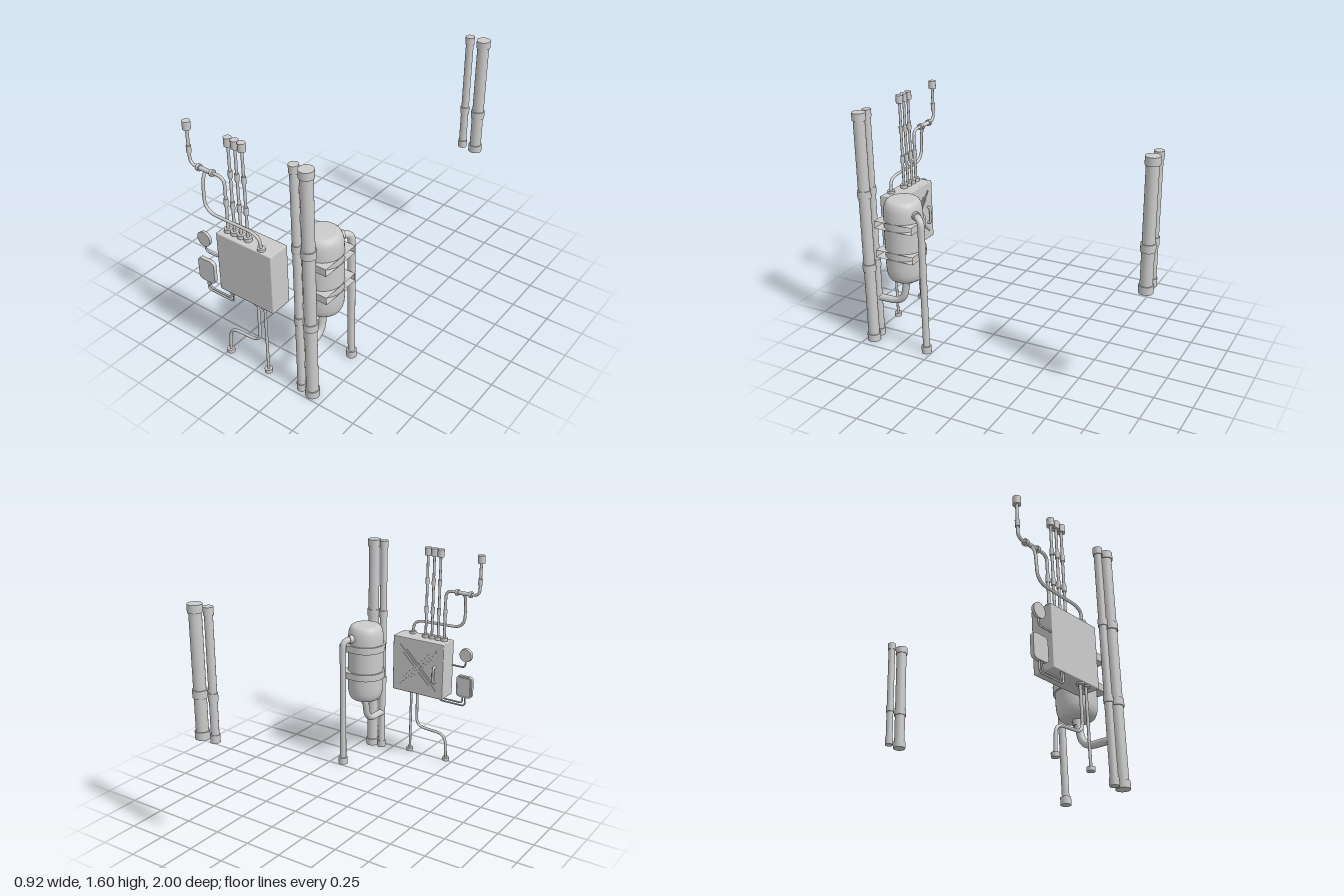
import * as THREE from 'three';
import { RoundedBoxGeometry } from 'three/addons/geometries/RoundedBoxGeometry.js';
import { toCreasedNormals } from 'three/addons/utils/BufferGeometryUtils.js';

const grey = new THREE.MeshStandardMaterial({ color: 0xcccccc });
const greyOpen = new THREE.MeshStandardMaterial({ color: 0xcccccc, side: THREE.DoubleSide });

export function createModel() {
  const root = new THREE.Group();

  function group(name) {
    const g = new THREE.Group();
    g.name = name;
    root.add(g);
    return g;
  }

  function add(parent, name, geometry, x = 0, y = 0, z = 0, material = grey) {
    const m = new THREE.Mesh(geometry, material);
    m.name = name;
    m.position.set(x, y, z);
    parent.add(m);
    return m;
  }

  // Upright cylinder between two heights
  function rod(parent, name, x, z, y0, y1, r, sides = 20) {
    return add(parent, name, new THREE.CylinderGeometry(r, r, y1 - y0, sides), x, (y0 + y1) / 2, z);
  }

  // Tube along a polyline whose corners are rounded by the given bend
  function bentPipe(parent, name, points, r, bend = 0.04, sides = 12) {
    const p = points.map((a) => new THREE.Vector3(...a));
    const path = new THREE.CurvePath();
    let from = p[0];
    for (let i = 1; i < p.length - 1; i++) {
      const d0 = Math.min(bend, p[i].distanceTo(p[i - 1]) * 0.49);
      const d1 = Math.min(bend, p[i].distanceTo(p[i + 1]) * 0.49);
      const a = p[i].clone().add(p[i - 1].clone().sub(p[i]).setLength(d0));
      const b = p[i].clone().add(p[i + 1].clone().sub(p[i]).setLength(d1));
      path.add(new THREE.LineCurve3(from, a));
      path.add(new THREE.QuadraticBezierCurve3(a, p[i], b));
      from = b;
    }
    path.add(new THREE.LineCurve3(from, p[p.length - 1]));
    return add(parent, name, new THREE.TubeGeometry(path, 72, r, sides, false), 0, 0, 0, greyOpen);
  }

  // Large risers with joint collars; two near the tank, two far away
  const risers = group('risers');
  function riser(x, z, r, collarR, collars) {
    rod(risers, 'riserPipe', x, z, collars[0] + 0.005, 1.595, r, 24);
    for (const y of collars) rod(risers, 'riserCollar', x, z, y, y + 0.05, collarR, 24);
  }
  const nearCollars = [0, 0.52, 1.035, 1.55];
  const farCollars = [0.775, 1.035, 1.55];
  riser(0.415, 0.95, 0.038, 0.045, nearCollars);
  riser(0.332, 0.95, 0.025, 0.03, nearCollars);
  riser(0.38, -0.955, 0.038, 0.045, farCollars);
  riser(0.28, -0.955, 0.025, 0.03, farCollars);

  // Tank
  const tank = group('tank');
  const TX = 0.33, TZ = 0.717;
  const half = [[0.128, 0.17], [0.125, 0.22], [0.118, 0.248], [0.108, 0.268], [0.096, 0.278], [0.08, 0.281], [0, 0.281]];
  const profile = [...half.map(([r, y]) => [r, -y]).reverse(), ...half];
  const body = new THREE.LatheGeometry(profile.map(([r, y]) => new THREE.Vector2(r, y)), 40);
  add(tank, 'tankBody', body, TX, 0.76, TZ);

  // Straps: D-shaped plates, open on the flat side
  const d = new THREE.Shape();
  d.moveTo(0.13, -0.14);
  d.lineTo(0.13, 0.14);
  d.lineTo(0, 0.14);
  d.absarc(0, 0, 0.14, Math.PI / 2, Math.PI * 1.5, false);
  d.closePath();
  let strap = new THREE.ExtrudeGeometry(d, { depth: 0.05, bevelEnabled: false, curveSegments: 24 });
  const pos = strap.attributes.position;
  const kept = [];
  for (let i = 0; i < pos.count; i += 3) {
    const flat = [0, 1, 2].every((k) => pos.getX(i + k) > 0.1299);
    for (let k = 0; k < 3 && !flat; k++) kept.push(pos.getX(i + k), pos.getY(i + k), pos.getZ(i + k));
  }
  strap = new THREE.BufferGeometry().setAttribute('position', new THREE.Float32BufferAttribute(kept, 3));
  strap.rotateX(-Math.PI / 2);
  strap = toCreasedNormals(strap, 0.6);
  for (const y of [0.653, 0.856]) add(tank, 'tankStrap', strap, TX, y, TZ, greyOpen);

  // Tank outlets
  rod(tank, 'bottomCollar', TX, TZ, 0.44, 0.5, 0.03);
  bentPipe(tank, 'bottomElbow', [[TX, 0.46, TZ], [TX, 0.29, 0.75], [TX, 0.285, 0.95]], 0.024, 0.11, 18);
  bentPipe(tank, 'drainPipe', [[0.355, 0.955, 0.62], [0.405, 0.95, 0.538], [0.405, 0.01, 0.538]], 0.023, 0.05, 18);
  const sideCollar = add(tank, 'sideCollar', new THREE.CylinderGeometry(0.029, 0.029, 0.04, 20), 0.37, 0.955, 0.597);
  sideCollar.quaternion.setFromUnitVectors(new THREE.Vector3(0, 1, 0), new THREE.Vector3(0.05, 0, -0.08).normalize());
  rod(tank, 'drainFoot', 0.405, 0.538, 0, 0.05, 0.033);

  // Cabinet with a ribbed door facing -z
  const cabinet = group('cabinet');
  const CX = -0.025, CY = 0.747;
  add(cabinet, 'cabinetBody', new RoundedBoxGeometry(0.41, 0.41, 0.15, 2, 0.006), CX, CY, 0.925);
  for (const s of [-1, 1]) {
    const cross = new THREE.Group();
    cross.name = 'doorRibs';
    cross.position.set(CX, CY, 0.85);
    cross.rotation.z = s * Math.PI / 4;
    cabinet.add(cross);
    add(cross, 'longRib', new THREE.BoxGeometry(0.42, 0.012, 0.012));
    for (const t of [-1, 1]) add(cross, 'shortRib', new THREE.BoxGeometry(0.3, 0.006, 0.008), 0, t * 0.02, 0);
  }
  bentPipe(cabinet, 'doorHandle',
    [[-0.165, 0.66, 0.855], [-0.165, 0.665, 0.828], [-0.165, 0.775, 0.828], [-0.165, 0.78, 0.855]], 0.009, 0.02);

  // Conduits above the cabinet
  const upper = group('upperConduits');
  const Z = 0.945;
  for (const x of [-0.18, -0.13, -0.08, -0.03]) {
    rod(upper, 'cabinetFitting', x, Z, 0.945, 0.975, 0.025);
    rod(upper, 'coupling', x, Z, 1.13, 1.18, 0.014);
    if (x < -0.15) continue;
    rod(upper, 'conduit', x, Z, 0.96, 1.59, 0.009, 12);
    rod(upper, 'coupling', x, Z, 1.34, 1.385, 0.014);
    rod(upper, 'endCap', x, Z, 1.547, 1.6, 0.024);
  }
  bentPipe(upper, 'steppedConduit',
    [[-0.18, 0.96, Z], [-0.18, 1.318, Z], [-0.438, 1.318, Z], [-0.438, 1.58, Z]], 0.01, 0.05);
  rod(upper, 'coupling', -0.438, Z, 1.395, 1.44, 0.015);
  rod(upper, 'endCap', -0.438, Z, 1.547, 1.6, 0.025);
  const sleeve = [[-0.322, 0.11, 0.014], [-0.372, 0.02, 0.022], [-0.268, 0.02, 0.022]];
  for (const [x, length, r] of sleeve) {
    add(upper, 'teeFitting', new THREE.CylinderGeometry(r, r, length, 18), x, 1.318, Z).rotation.z = Math.PI / 2;
  }
  bentPipe(upper, 'branchConduit', [[-0.32, 1.315, Z], [-0.32, 1.27, 0.975], [-0.318, 1.06, 0.98],
    [0.08, 1.052, 0.975], [0.09, 0.95, 0.97]], 0.01, 0.09);
  rod(upper, 'cabinetFitting', 0.09, 0.97, 0.945, 0.968, 0.025);

  // Conduits below the cabinet
  const lower = group('lowerConduits');
  rod(lower, 'straightConduit', 0.09, 0.97, 0.03, 0.545, 0.009, 12);
  bentPipe(lower, 'bentConduit',
    [[0.038, 0.545, 0.97], [0.038, 0.236, 0.97], [-0.205, 0.222, 0.97], [-0.218, 0.03, 0.97]], 0.01, 0.07);
  for (const x of [0.038, 0.09]) rod(lower, 'cabinetFitting', x, 0.97, 0.532, 0.548, 0.025);
  for (const x of [-0.218, 0.09]) rod(lower, 'footCap', x, 0.97, 0.02, 0.046, 0.025);

  // Round bell and small junction box beside the cabinet
  const side = group('sideDevices');
  add(side, 'bell', new THREE.CylinderGeometry(0.05, 0.046, 0.022, 32), -0.335, 0.86, 0.989).rotation.x = Math.PI / 2;
  bentPipe(side, 'bellConduit', [[-0.335, 0.83, 0.988], [-0.335, 0.768, 0.988], [-0.22, 0.768, 0.988]], 0.006, 0.03, 10);

  function roundedPlate(w, h, r, depth, bevel) {
    const s = new THREE.Shape();
    const a = w / 2 - r, b = h / 2 - r;
    [[a, b], [-a, b], [-a, -b], [a, -b]].forEach(([x, y], i) =>
      s.absarc(x, y, r, i * Math.PI / 2, (i + 1) * Math.PI / 2, false));
    return new THREE.ExtrudeGeometry(s, { depth, bevelEnabled: bevel > 0, bevelSize: bevel,
      bevelThickness: bevel, bevelOffset: -bevel, bevelSegments: 2, curveSegments: 6 });
  }
  add(side, 'junctionBox', roundedPlate(0.125, 0.16, 0.028, 0.025, 0), -0.337, 0.625, 0.975);
  add(side, 'junctionLid', roundedPlate(0.105, 0.14, 0.024, 0.01, 0.004), -0.337, 0.625, 0.969);
  for (const [x0, x1, y] of [[-0.343, -0.137, 0.476], [-0.323, -0.155, 0.496]]) {
    bentPipe(side, 'junctionConduit',
      [[x0, 0.56, 0.988], [x0, y, 0.988], [x1, y, 0.988], [x1, 0.55, 0.988]], 0.006, 0.025, 10);
  }
  return root;
}
